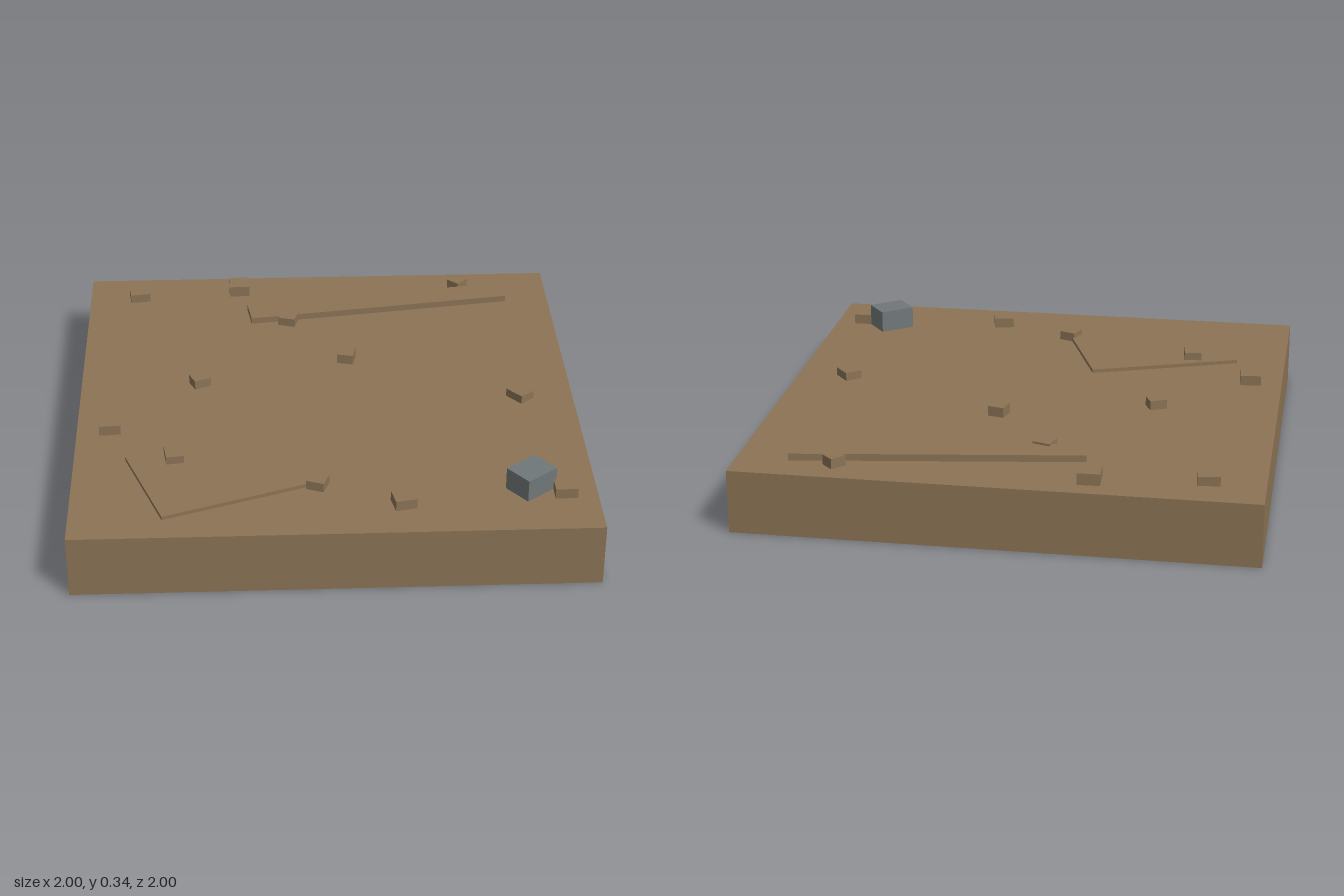
import * as THREE from 'three';

export function createModel() {
  const group = new THREE.Group();
  const soil = new THREE.MeshStandardMaterial({ color: 0x8b7355 });
  soil.name = 'soil brown';
  const stone = new THREE.MeshStandardMaterial({ color: 0x707779 });
  stone.name = 'stone grey';

  const groundY = 0.25;

  // Box from bottom to top, turned about the vertical axis
  function block(name, x, z, w, d, bottom, top, turn = 0, material = soil) {
    const mesh = new THREE.Mesh(new THREE.BoxGeometry(w, top - bottom, d), material);
    mesh.position.set(x, (bottom + top) / 2, z);
    mesh.rotation.y = turn;
    mesh.name = name;
    group.add(mesh);
  }

  // Ground slab with two low raised areas and a grey block
  block('groundSlab', 0, 0, 2, 2, 0, groundY);
  block('longRidge', 0.25, -0.725, 1.124, 0.12, groundY, 0.277, 0.141);
  block('flatPatch', -0.43, 0.572, 0.626, 0.44, groundY, 0.265, 0.349);
  block('greyBlock', 0.75, 0.725, 0.148, 0.12, groundY, 0.34, 0.66, stone);

  // Scattered clods: x, z, width, depth, top, turn
  const clods = [
    [-0.785, -0.83, 0.085, 0.063, 0.287, 0.12],
    [-0.35, -0.88, 0.086, 0.088, 0.296, 0.03],
    [0.615, -0.88, 0.064, 0.06, 0.291, 0.8],
    [-0.14, -0.595, 0.072, 0.068, 0.286, -0.3],
    [0.095, -0.265, 0.066, 0.068, 0.291, -0.24],
    [-0.515, -0.09, 0.07, 0.06, 0.288, 0.43],
    [0.785, 0.06, 0.07, 0.086, 0.284, 0.7],
    [-0.87, 0.25, 0.085, 0.073, 0.291, 0.08],
    [-0.61, 0.483, 0.07, 0.088, 0.297, 0.13],
    [-0.06, 0.68, 0.07, 0.067, 0.287, -0.38],
    [0.26, 0.815, 0.083, 0.078, 0.291, 0.2],
    [0.877, 0.765, 0.085, 0.073, 0.291, 0],
  ];
  clods.forEach(([x, z, w, d, top, turn], i) =>
    block(`clod${i + 1}`, x, z, w, d, groundY, top, turn));

  return group;
}
